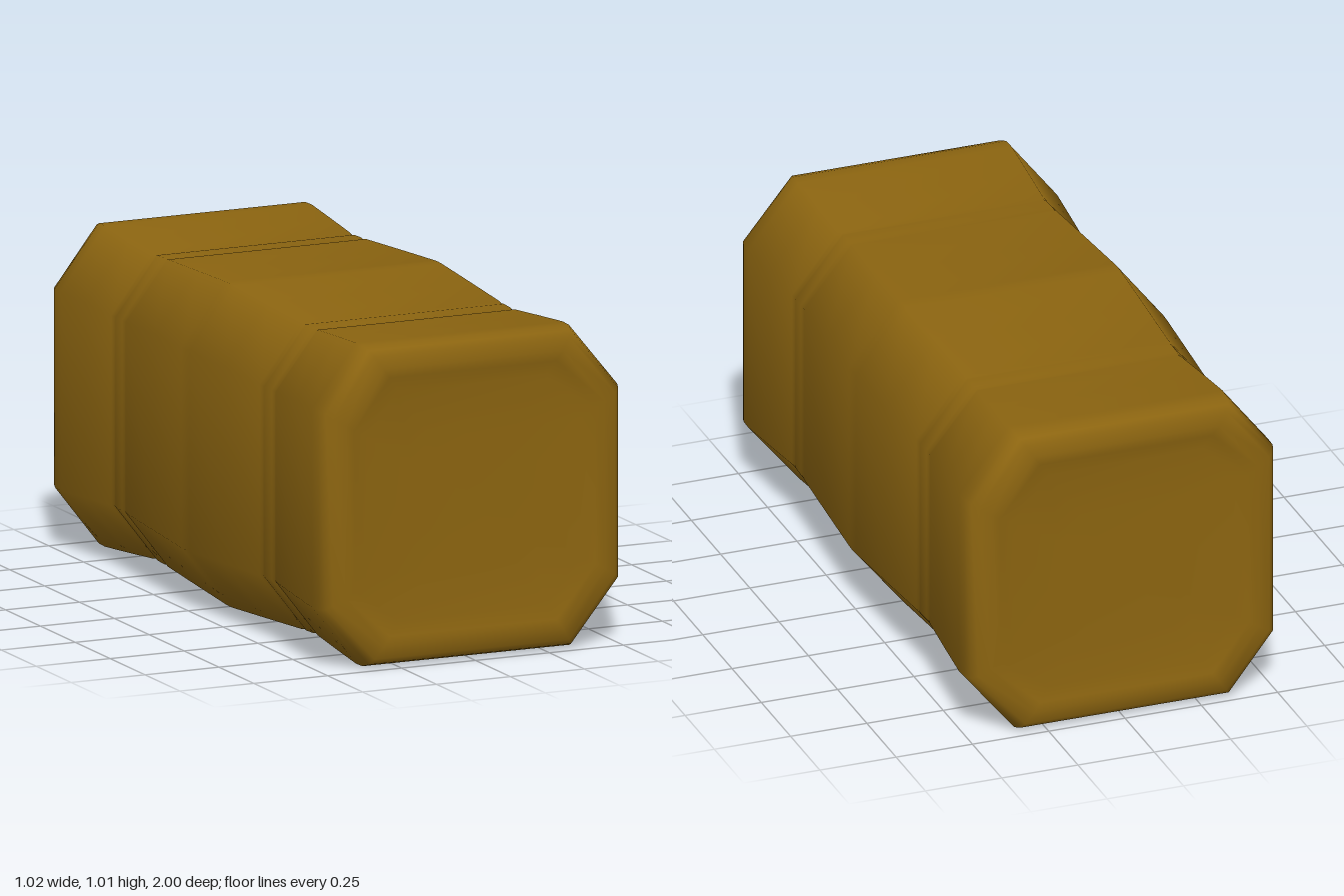
import * as THREE from 'three';

export function createModel() {
  const ochre = new THREE.MeshStandardMaterial({ color: 0x8b6410 });
  ochre.name = 'ochre';

  // Chamfered square cross-section around the long axis, counter-clockwise from the front
  const section = [
    [0.51, -0.305], [0.51, 0.305], [0.345, 0.507], [-0.36, 0.507],
    [-0.51, 0.315], [-0.51, -0.315], [-0.36, -0.507], [0.345, -0.507],
  ];
  const centreY = 0.507;

  // Half profile from the middle to the dished end: [z, scale]
  const half = [
    [0.03, 0.998], [0.25, 0.975], [0.48, 0.95], [0.495, 0.943], [0.51, 0.947],
    [0.56, 0.944], [0.575, 0.938], [0.59, 0.945], [0.75, 0.97], [0.9, 0.992],
    [0.945, 0.99], [0.975, 0.97], [0.99, 0.935], [1.0, 0.86], [0.997, 0.8],
    [0.985, 0.71], [0.98, 0.4],
  ];
  const rings = [
    ...half.map(([z, s]) => [-z, s]).reverse(), [0, 1], ...half,
  ];

  // Loft the rings into one smooth skin and close both ends with a fan
  const n = section.length, positions = [], indices = [];
  for (const [z, s] of rings)
    for (const [x, y] of section) positions.push(x * s, centreY + y * s, z);
  for (let r = 0; r < rings.length - 1; r++)
    for (let i = 0; i < n; i++) {
      const j = (i + 1) % n, a = r * n + i, b = r * n + j;
      indices.push(a, b, b + n, a, b + n, a + n);
    }
  const back = positions.length / 3, front = back + 1, last = (rings.length - 1) * n;
  positions.push(0, centreY, -0.98, 0, centreY, 0.98);
  for (let i = 0; i < n; i++) {
    const j = (i + 1) % n;
    indices.push(back, j, i, front, last + i, last + j);
  }

  const geometry = new THREE.BufferGeometry();
  geometry.setAttribute('position', new THREE.Float32BufferAttribute(positions, 3));
  geometry.setIndex(indices);
  geometry.computeVertexNormals();

  const body = new THREE.Mesh(geometry, ochre);
  body.name = 'body';
  const group = new THREE.Group();
  group.name = 'chamferedBlock';
  group.add(body);
  return group;
}
